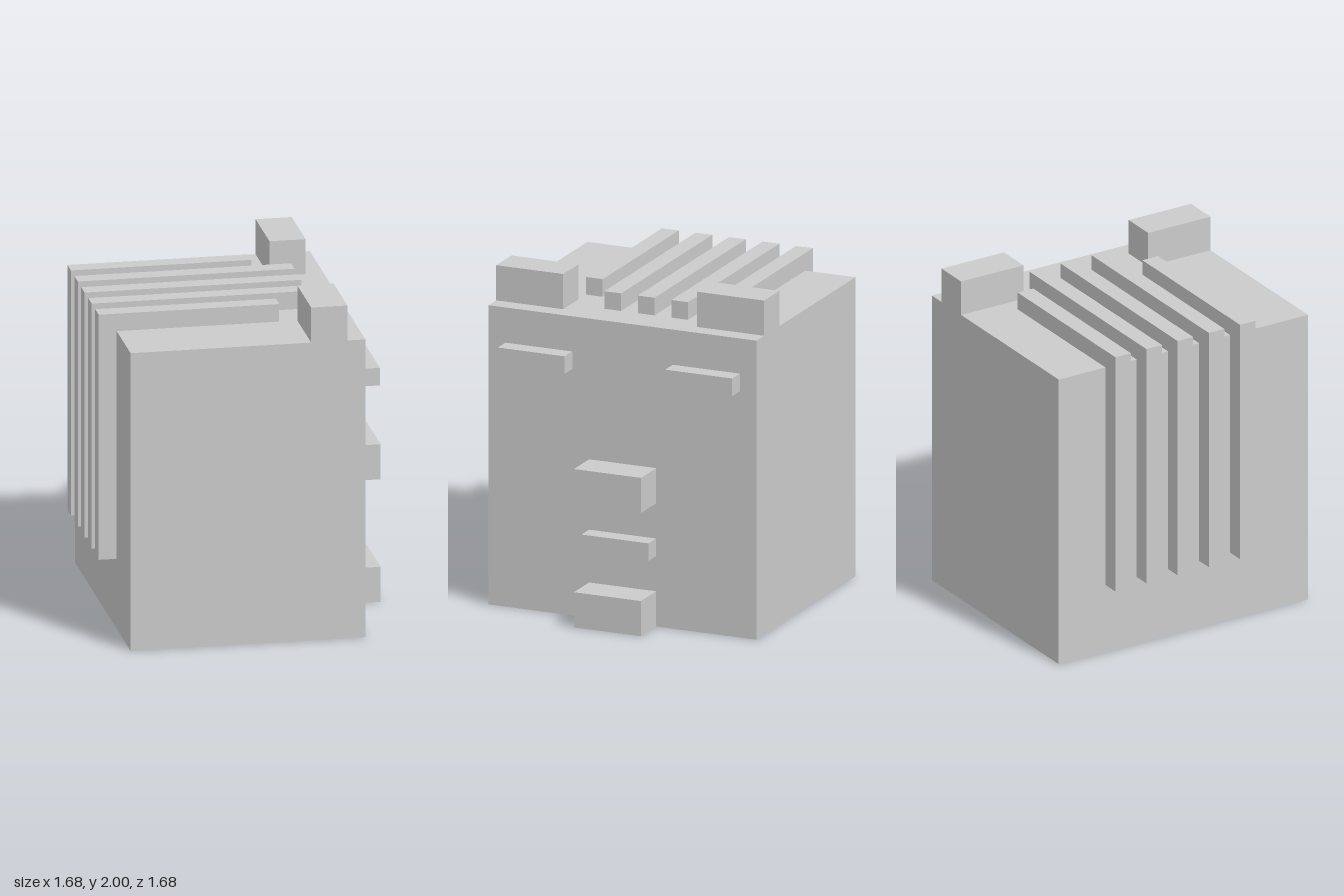
import * as THREE from 'three';

const U = 2 / 19; // one block unit

export function createModel() {
  const model = new THREE.Group();
  model.name = 'blockHead';
  const material = new THREE.MeshStandardMaterial({ color: 0xcccccc, flatShading: true });

  const add = (name, geometry) => {
    const mesh = new THREE.Mesh(geometry, material);
    mesh.name = name;
    model.add(mesh);
    return mesh;
  };

  // Box given by its ranges in block units
  const block = (name, [x0, x1], [y0, y1], [z0, z1]) => {
    const mesh = add(name, new THREE.BoxGeometry((x1 - x0) * U, (y1 - y0) * U, (z1 - z0) * U));
    mesh.position.set((x0 + x1) / 2, (y0 + y1) / 2, (z0 + z1) / 2).multiplyScalar(U);
  };

  block('head', [-7, 6], [0, 17], [-8, 8]);

  // Face, on the +x side
  block('nose', [6, 8], [7, 9], [-2, 2]);
  block('mouth', [6, 7], [4, 5], [-2, 2]);
  block('chin', [6, 8], [0, 2], [-2, 2]);

  // Mirrored pairs of ears and brows
  for (const [side, s] of [['front', 1], ['back', -1]]) {
    const range = (a, b) => (s > 0 ? [a, b] : [-b, -a]);
    block(side + 'Ear', [3, 5], [17, 19], range(4, 8));
    block(side + 'Brow', [6, 7], [14, 15], range(3, 7));
  }

  // Ridges folding over the top and down the -x side; the outer two are shorter
  [2, 4, 4, 4, 2].forEach((end, i) => {
    const profile = new THREE.Shape(
      [[-8, 4], [-7, 4], [-7, 17], [end, 17], [end, 18], [-8, 18]]
        .map(([x, y]) => new THREE.Vector2(x * U, y * U))
    );
    const ridge = add('ridge' + (i + 1),
      new THREE.ExtrudeGeometry(profile, { depth: U, bevelEnabled: false }));
    ridge.position.z = (-5 + 2 * i) * U;
  });

  return model;
}
